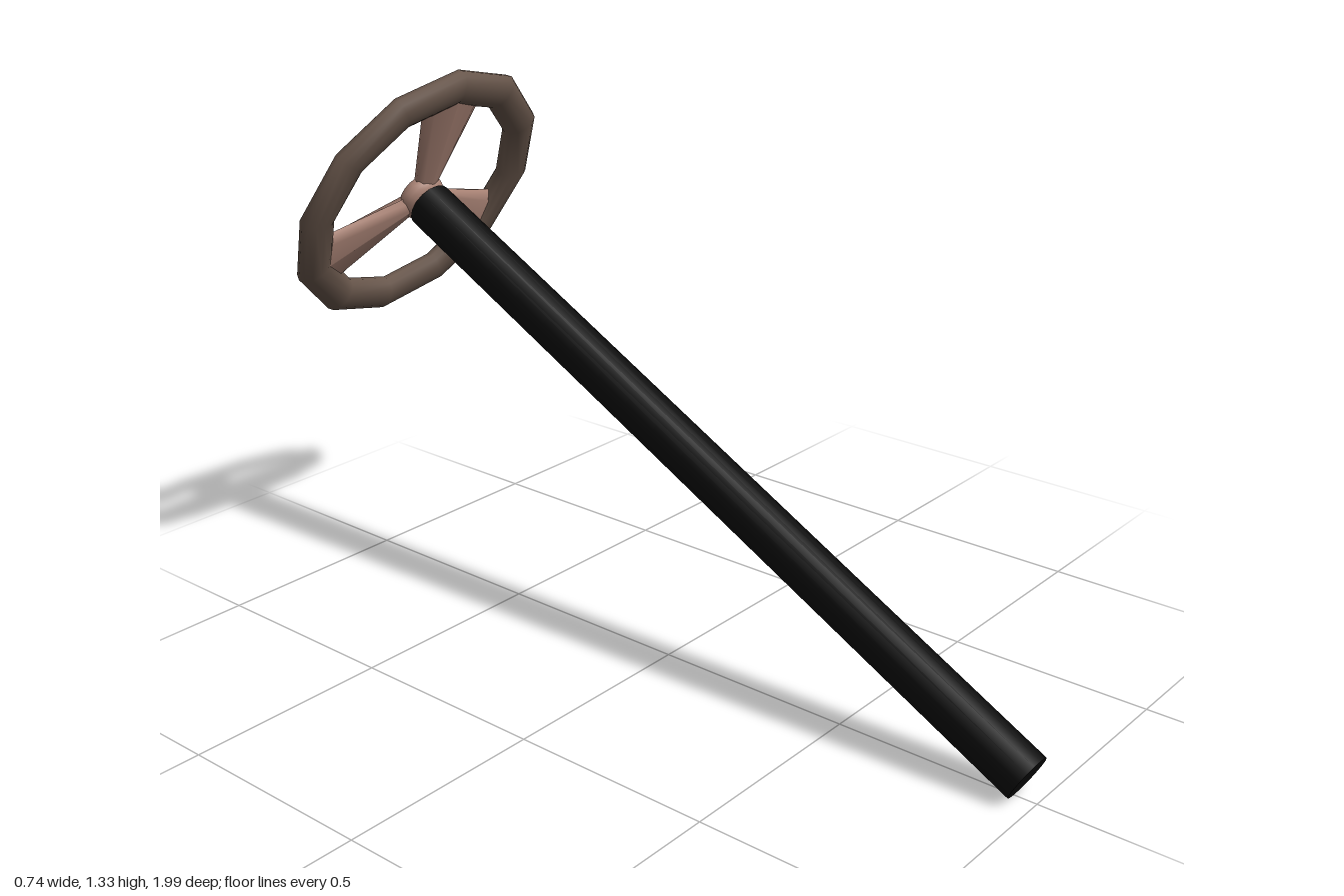
import * as THREE from 'three';

export function createModel() {
  const rimBrown = new THREE.MeshStandardMaterial({ name: 'rim brown', color: 0x68564b });
  const spokeTan = new THREE.MeshStandardMaterial({ name: 'spoke tan', color: 0xad8678 });
  const columnBlack = new THREE.MeshStandardMaterial({ name: 'column black', color: 0x0a0a0a });

  const model = new THREE.Group();
  model.name = 'steeringWheel';

  // Everything is built around the wheel centre, with local +z running down the column
  const assembly = new THREE.Group();
  assembly.name = 'tiltedAssembly';
  assembly.position.set(0, 1.005, -0.803);
  assembly.rotation.x = THREE.MathUtils.degToRad(28.2);
  model.add(assembly);

  const add = (name, geometry, material) => {
    const mesh = new THREE.Mesh(geometry, material);
    mesh.name = name;
    assembly.add(mesh);
    return mesh;
  };

  // Twelve-sided rim with a flattened tube
  add('rim', new THREE.TorusGeometry(0.3235, 0.0465, 12, 12).scale(1, 1, 0.65), rimBrown);

  // Long steering column
  const columnLength = 1.971;
  const column = new THREE.CylinderGeometry(0.059, 0.059, columnLength, 16);
  column.rotateX(Math.PI / 2).translate(0, 0, 0.044 + columnLength / 2);
  add('column', column, columnBlack);

  // Flattened round hub
  const hub = new THREE.SphereGeometry(0.062, 16, 10).rotateX(Math.PI / 2);
  hub.scale(1, 1, 0.6).translate(0, 0, 0.012);
  add('hub', hub, spokeTan);

  // Spoke: nearly round at the hub, widening to a flat oval inside the rim
  const spoke = new THREE.CylinderGeometry(0.1, 0.024, 0.28, 8);
  spoke.translate(0, 0.16, 0);
  const p = spoke.attributes.position;
  for (let i = 0; i < p.count; i++) {
    const outer = p.getY(i) > 0.16;
    p.setZ(i, p.getZ(i) * (outer ? 0.2 : 1) + (outer ? 0 : 0.008));
  }
  spoke.computeVertexNormals();
  for (let i = 0; i < 3; i++) {
    add('spoke' + (i + 1), spoke, spokeTan).rotation.z = (i * Math.PI * 2) / 3;
  }

  return model;
}
